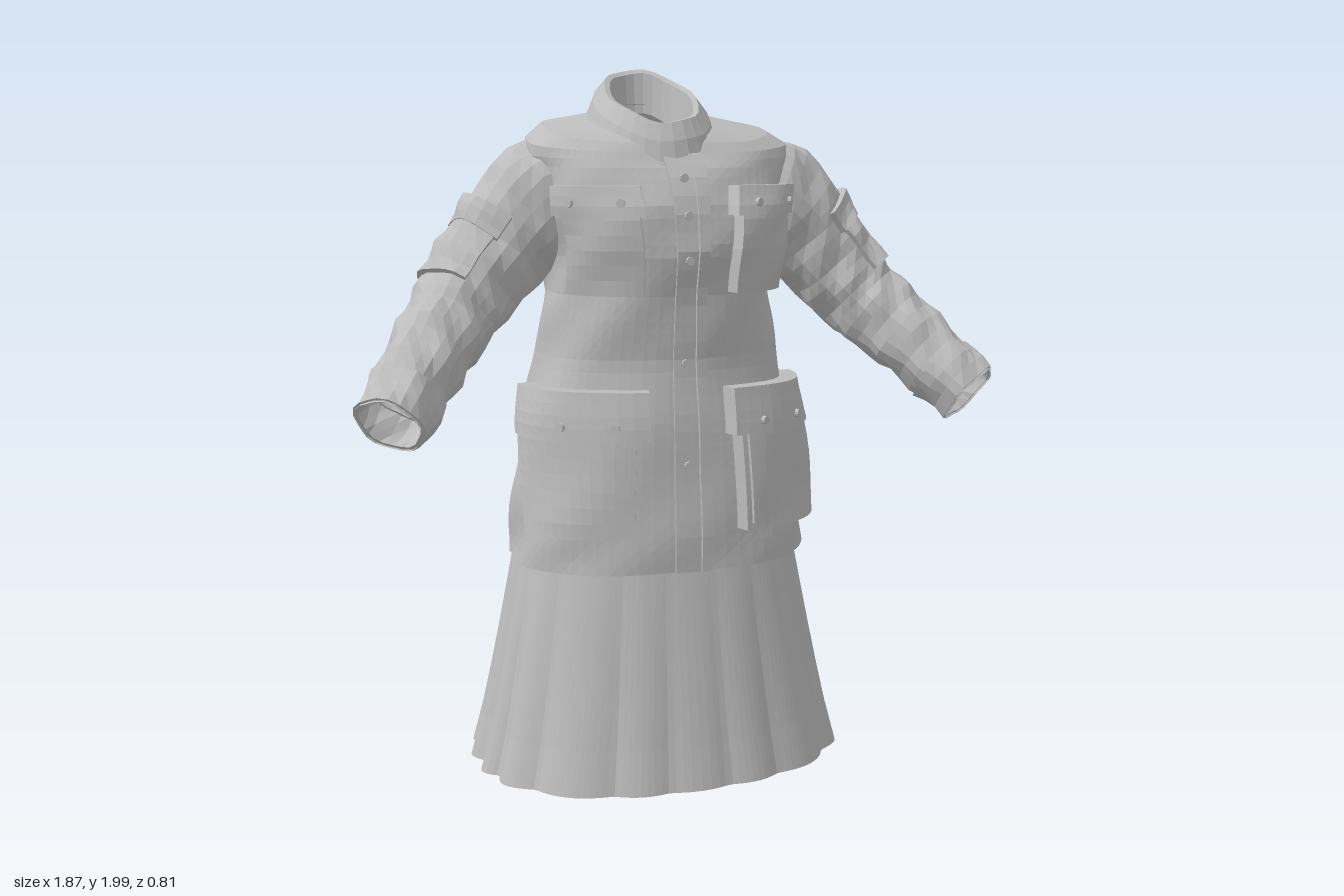
import * as THREE from 'three';

const { sin, cos, abs, sign, PI, pow, exp } = Math;
const lerp = THREE.MathUtils.lerp, clamp = THREE.MathUtils.clamp;
const DEG = PI / 180;

// Surface patch from a rule f(u, v) -> Vector3, faceted
function grid(nu, nv, f, flip = false) {
  const pos = [], idx = [];
  for (let j = 0; j <= nv; j++)
    for (let i = 0; i <= nu; i++) pos.push(...f(i / nu, j / nv, i, j).toArray());
  for (let j = 0; j < nv; j++)
    for (let i = 0; i < nu; i++) {
      const a = j * (nu + 1) + i, b = a + 1, c = b + nu + 1, d = a + nu + 1;
      idx.push(...(flip ? [a, c, b, a, d, c] : [a, b, c, a, c, d]));
    }
  let g = new THREE.BufferGeometry();
  g.setAttribute('position', new THREE.Float32BufferAttribute(pos, 3));
  g.setIndex(idx);
  g = g.toNonIndexed();
  g.computeVertexNormals();
  return g;
}

// Raised slab lying on a surface surf(a, b, offset); its border sinks into the cloth
function slab(surf, bottom, top, b0, b1, thick, nu = 12, nv = 10, flip = false) {
  return grid(nu, nv, (u, v, i, j) => {
    const s = clamp((i - 1) / (nu - 2), 0, 1), t = clamp((j - 1) / (nv - 2), 0, 1);
    const edge = i === 0 || j === 0 || i === nu || j === nv;
    const a = lerp(lerp(bottom[0], top[0], t), lerp(bottom[1], top[1], t), s);
    return surf(a, lerp(b0, b1, t), edge ? -0.008 : thick);
  }, flip);
}

// Torso cross-sections: height, half width, front z, back z
const BODY = [
  [0.60, 0.44, 0.32, -0.28], [0.85, 0.415, 0.31, -0.28], [1.05, 0.385, 0.295, -0.265],
  [1.20, 0.35, 0.275, -0.24], [1.38, 0.315, 0.29, -0.228], [1.50, 0.325, 0.31, -0.235],
  [1.62, 0.35, 0.295, -0.225], [1.72, 0.37, 0.25, -0.21], [1.79, 0.39, 0.215, -0.185],
  [1.83, 0.355, 0.195, -0.17], [1.855, 0.23, 0.18, -0.15], [1.87, 0.12, 0.165, -0.12],
];
const spow = (v, p) => sign(v) * pow(abs(v), p);

function torso(a, y, off = 0) {
  let k = 0;
  while (k < BODY.length - 2 && y > BODY[k + 1][0]) k++;
  const A = BODY[k], B = BODY[k + 1];
  const t = clamp((y - A[0]) / (B[0] - A[0]), 0, 1);
  const [rx, zf, zb] = [1, 2, 3].map((n) => lerp(A[n], B[n], t));
  const back = 0.5 - 0.5 * cos(a);
  const fold = (0.003 + 0.007 * back) * (sin(3 * a + 14 * y) * sin(8 * y - 2 * a) + 0.7 * sin(7 * a - 21 * y + 2 * sin(6 * y)));
  const mid = (zf + zb) / 2, rz = (zf - zb) / 2, r = off + fold;
  const x = (rx + r) * spow(sin(a), 0.85), z = mid + (rz + r) * spow(cos(a), 0.85);
  const tilt = 0.3 * clamp((y - 1.72) / 0.15, 0, 1);
  return new THREE.Vector3(x - 0.022, y - tilt * z, z);
}
// Coat hem: level in front, raised at the back towards the left
const hem = (a) => {
  const d = ((a / DEG + 360) % 360) - 145;
  return 0.62 + 0.22 * exp(-((d / 42) ** 2)) + 0.012 * sin(7 * a) * (cos(a) < 0 ? 1 : 0);
};

// Sleeve centre line and radii
const ARM = new THREE.CatmullRomCurve3([
  [0.24, 1.68, -0.02], [0.355, 1.63, -0.01], [0.49, 1.485, 0.01], [0.61, 1.345, 0.06], [0.725, 1.22, 0.17], [0.845, 1.075, 0.315],
].map((p) => new THREE.Vector3(...p)));
const ARM_R = [0.16, 0.17, 0.138, 0.124, 0.11, 0.092];
const sleeveFor = (side) => (a, t, off = 0) => {
  const c = ARM.getPoint(t), T = ARM.getTangent(t);
  const N = new THREE.Vector3().crossVectors(T, new THREE.Vector3(0, 0, 1)).normalize();
  const B = new THREE.Vector3().crossVectors(T, N);
  const q = t * 5, k = Math.min(4, Math.floor(q));
  const fold = 0.008 * sin(3 * a + 31 * t + side) * sin(2 * a - 17 * t) + 0.005 * sin(5 * a - 43 * t);
  const r = lerp(ARM_R[k], ARM_R[k + 1], q - k) + off + fold;
  const depth = lerp(0.85, 1, clamp(t * 1.6, 0, 1));
  c.addScaledVector(N, r * cos(a)).addScaledVector(B, r * depth * sin(a));
  c.x *= side;
  return c;
};

// Pleated skirt rule: round in front, squarer behind, wide pleats at the back corners
function skirt(u, v) {
  const a = (u - 0.5) * 2 * PI, y = lerp(0.01, 1.0, v);
  const w = clamp(y / 0.62, 0, 1), h = clamp((y - 0.62) / 0.38, 0, 1);
  const rx = lerp(lerp(0.56, 0.42, pow(w, 0.85)), 0.33, h);
  const rz = lerp(lerp(0.408, 0.31, pow(w, 0.9)), 0.23, h);
  const pleat = abs(cos(9 * a + 0.9 * sin(4 * a)));
  const depth = lerp(0.065, 0.012, w) * (0.6 - 0.4 * cos(a));
  const d = -depth * (1 - pleat);
  const p = lerp(0.88, 0.78, clamp(-2 * cos(a), 0, 1));
  return new THREE.Vector3(
    -0.017 + (rx + d) * spow(sin(a), p), y,
    lerp(0, -0.01, w) + (rz + d) * spow(cos(a), p));
}

export function createModel() {
  const root = new THREE.Group();
  root.name = 'coatAndSkirt';
  const cloth = new THREE.MeshStandardMaterial({ color: 0xbcbcbc, side: THREE.DoubleSide, flatShading: true });
  cloth.name = 'grey cloth';
  const add = (name, geo) => {
    const m = new THREE.Mesh(geo, cloth);
    m.name = name;
    root.add(m);
    return m;
  };

  add('skirt', grid(180, 8, skirt));
  add('coatBody', grid(64, 36, (u, v) => {
    const a = (u - 0.5) * 2 * PI;
    return torso(a, lerp(hem(a), 1.87, v));
  }));

  // Button placket and its overlapping edge
  add('placket', slab(torso, [-4 * DEG, 6 * DEG], [-5 * DEG, 7 * DEG], 0.62, 1.8, 0.01, 6, 26));
  add('placketEdge', slab(torso, [2.2 * DEG, 4 * DEG], [2 * DEG, 5 * DEG], 0.62, 1.8, 0.018, 4, 26));

  const button = (a, y, off) => {
    const p = torso(a, y, off), q = torso(a, y, off + 0.1);
    const m = add('button', new THREE.CylinderGeometry(0.012, 0.012, 0.012, 10));
    m.position.copy(p);
    m.quaternion.setFromUnitVectors(new THREE.Vector3(0, 1, 0), q.sub(p).normalize());
  };
  for (const y of [0.92, 1.2, 1.48, 1.6, 1.7]) button(-0.5 * DEG, y, 0.014);

  // Chest and hip pockets with flaps
  for (const s of [-1, 1]) {
    const flip = s < 0;
    const surf = (a, y, off) => torso(s * a, y, off);
    const d = (...v) => v.map((n) => n * DEG);
    add('chestPocket', slab(surf, d(19, 62), d(19, 58), 1.39, 1.63, 0.036, 12, 8, flip));
    add('chestFlap', slab(surf, d(16, 63), d(17, 59), 1.6, 1.68, 0.044, 12, 5, flip));
    add('hipPocket', slab(surf, d(16, 66), d(16, 84), 0.73, 1.08, 0.042, 14, 10, flip));
    add('hipPocketPleat', slab(surf, d(18, 24), d(18, 24), 0.75, 1.03, 0.05, 5, 8, flip));
    add('hipFlap', slab(surf, d(13, 80), d(14, 88), 1.0, 1.13, 0.05, 14, 6, flip));
    for (const a of [26, 50]) {
      button(s * a * DEG, 1.635, 0.046);
      button(s * a * DEG, 1.035, 0.052);
    }

    // Sleeve, upper-arm pocket and cuff
    const sleeve = sleeveFor(s);
    add('sleeve', grid(22, 26, (u, v) => sleeve(u * 2 * PI, v), flip));
    add('sleevePocket', slab(sleeve, d(140, 245), d(140, 245), 0.34, 0.57, 0.016, 10, 7, flip));
    add('sleeveFlap', slab(sleeve, d(135, 250), d(136, 249), 0.32, 0.4, 0.022, 10, 5, flip));
    add('cuff', slab(sleeve, d(0, 360), d(0, 360), 0.9, 0.995, 0.006, 22, 5, flip));
  }

  // Fold-over collar: x radius, z radius, height on its tilted axis
  const COLLAR = [[0.172, 0.19, 1.82], [0.185, 0.203, 1.825], [0.16, 0.19, 1.885], [0.128, 0.168, 1.925], [0.112, 0.155, 1.92], [0.1, 0.145, 1.81]];
  add('collar', grid(26, COLLAR.length - 1, (u, v, i, j) => {
    const a = (u - 0.5) * 2 * PI, [rx, rz, y] = COLLAR[j];
    const z = rz * cos(a);
    return new THREE.Vector3(-0.038 + rx * sin(a), y - 0.46 * z + 0.004 * sin(5 * a), z + 0.03);
  }));
  // Collar points lying on the chest
  for (const s of [-1, 1])
    add('collarPoint', grid(8, 4, (u, v) => {
      const a = s * lerp(4, 75, u) * DEG, drop = (1 - v) * (0.05 - 0.07 * abs(u - 0.4));
      return new THREE.Vector3(-0.038 + (0.186 + 0.25 * drop) * sin(a), 1.83 - 0.46 * 0.203 * cos(a) - drop, 0.032 + (0.203 + 0.4 * drop) * cos(a));
    }, s < 0));

  return root;
}
